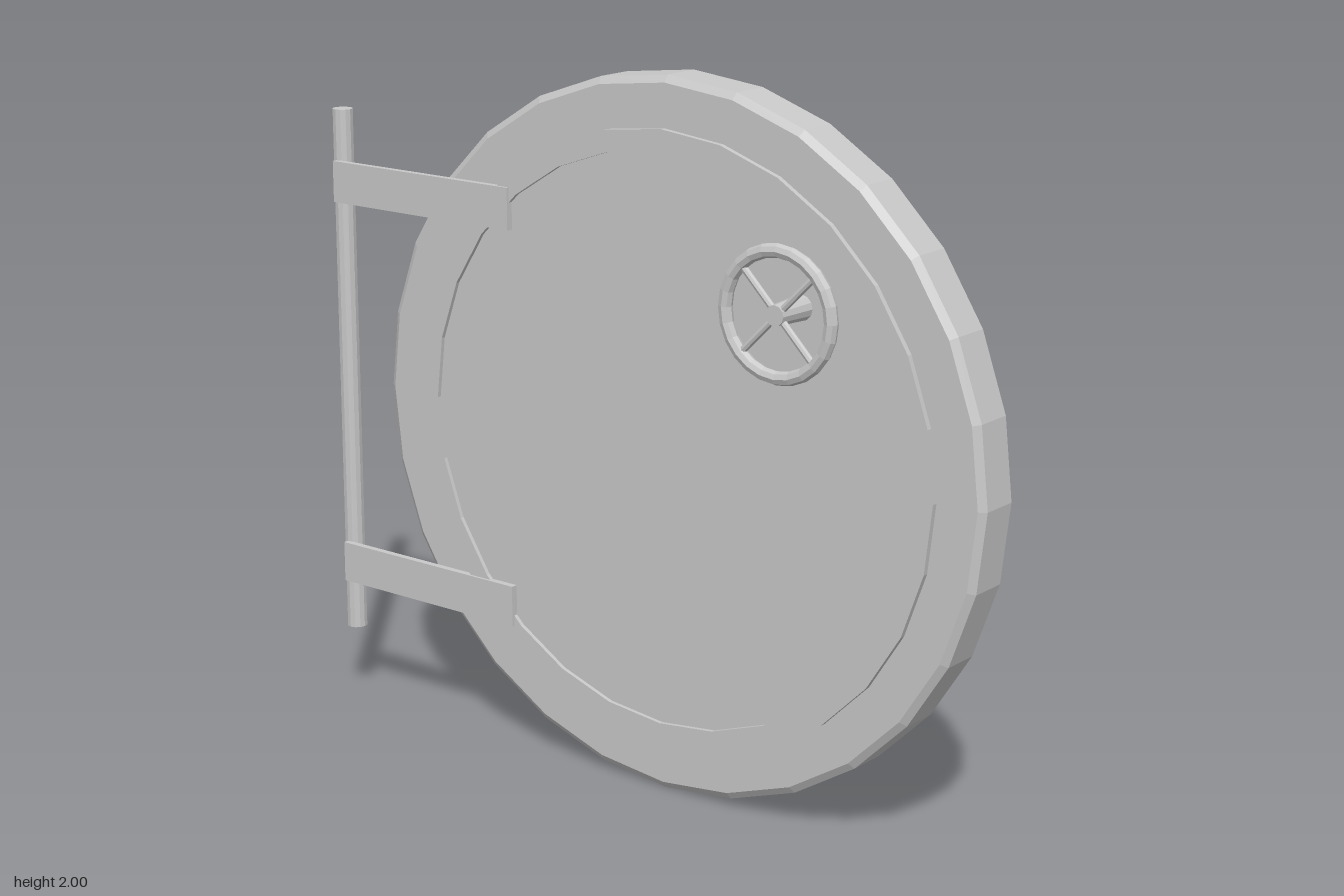
import * as THREE from 'three';

const steel = new THREE.MeshStandardMaterial({ color: 0xc8c8c8 });
steel.name = 'steel';

// Faceted mesh: every face keeps its own normal
function part(name, geometry, parent, x = 0, y = 0, z = 0) {
  const flat = geometry.index ? geometry.toNonIndexed() : geometry;
  flat.computeVertexNormals();
  const mesh = new THREE.Mesh(flat, steel);
  mesh.name = name;
  mesh.position.set(x, y, z);
  parent.add(mesh);
  return mesh;
}

export function createModel() {
  const model = new THREE.Group();
  model.name = 'vaultDoor';

  // Door assembly, swung open; its local z = 0 is the back face
  const door = new THREE.Group();
  door.name = 'door';
  door.position.set(0.118, 1, -0.035);
  door.rotation.y = THREE.MathUtils.degToRad(-30.3);
  model.add(door);

  // Round slab: chamfered rim, raised ring and slightly sunken panel
  const profile = [
    [0, 0], [1, 0], [1, 0.112], [0.98, 0.126], [0.86, 0.126],
    [0.86, 0.142], [0.8, 0.142], [0.8, 0.13], [0, 0.13],
  ].map(([r, h]) => new THREE.Vector2(r, h));
  const slab = new THREE.LatheGeometry(profile, 28).rotateX(Math.PI / 2).scale(1.016, 1, 1);
  part('doorSlab', slab, door);

  // Hinge straps
  for (const [name, y] of [['upperHingeStrap', 0.583], ['lowerHingeStrap', -0.572]]) {
    part(name, new THREE.BoxGeometry(0.668, 0.12, 0.02), door, -0.866, y, 0.14);
  }

  // Hand wheel on a short shaft
  const wheel = new THREE.Group();
  wheel.name = 'handWheel';
  wheel.position.set(0.452, 0.445, 0.234);
  door.add(wheel);
  part('wheelRim', new THREE.TorusGeometry(0.166, 0.019, 8, 24), wheel);
  part('wheelShaft', new THREE.CylinderGeometry(0.028, 0.035, 0.125, 12).rotateX(Math.PI / 2), wheel, 0, 0, -0.048);
  for (const turn of [1, -1]) {
    const spoke = part('wheelSpokes', new THREE.CylinderGeometry(0.01, 0.01, 0.32, 8), wheel);
    spoke.rotation.z = turn * Math.PI / 4;
  }

  // Hinge post
  part('hingePost', new THREE.CylinderGeometry(0.03, 0.03, 1.575, 12), model, -0.97, 1.003, -0.55);

  return model;
}
